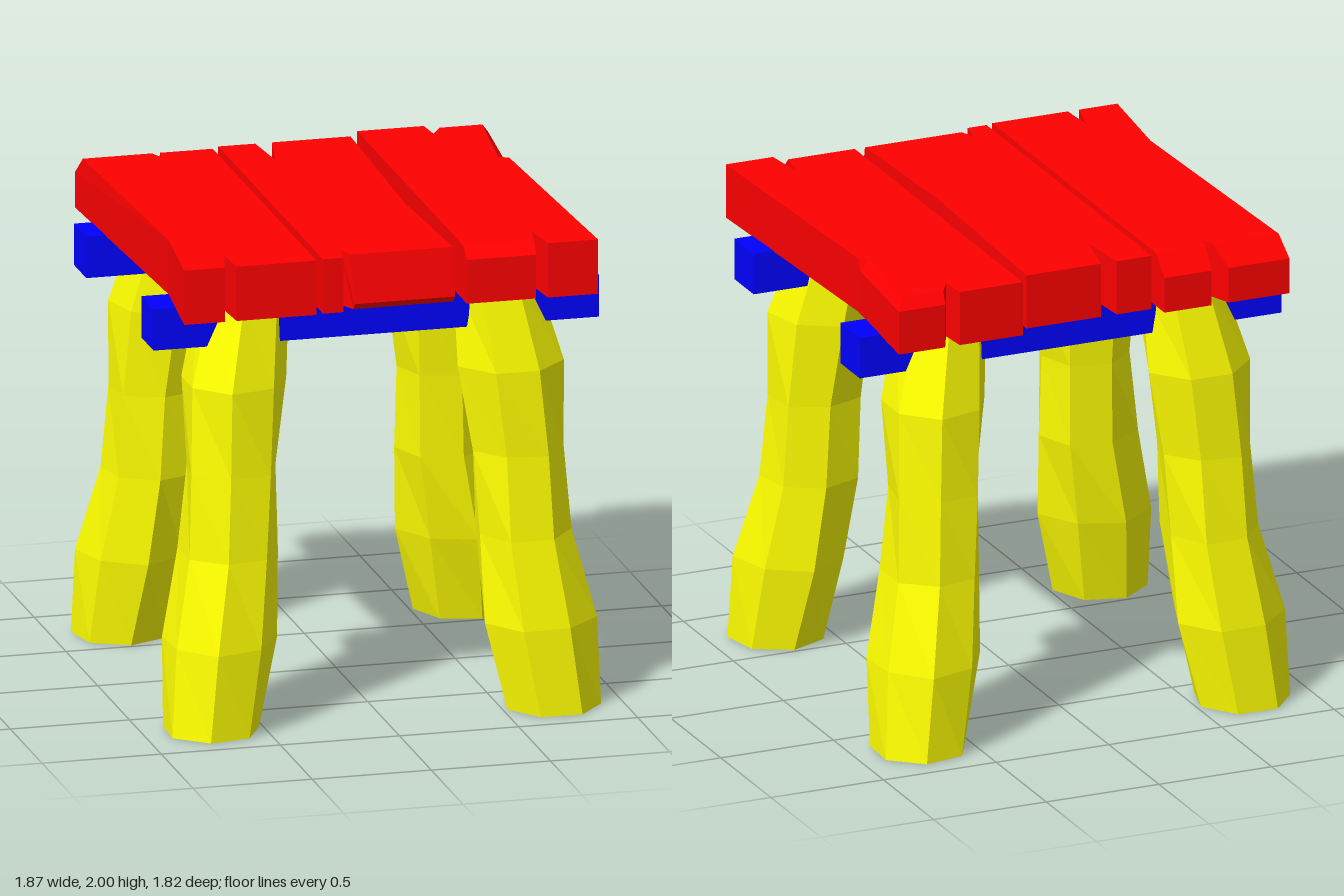
import * as THREE from 'three';

const mat = (color) => new THREE.MeshStandardMaterial({ color, flatShading: true });

// Accumulates triangles, then makes a flat-shaded mesh
function meshFrom(name, positions, material) {
  const g = new THREE.BufferGeometry();
  g.setAttribute('position', new THREE.Float32BufferAttribute(positions, 3));
  g.computeVertexNormals();
  const m = new THREE.Mesh(g, material);
  m.name = name;
  return m;
}

// Side wall between two rings, a below b
function wall(out, a, b) {
  a.forEach((p, i) => {
    const j = (i + 1) % a.length;
    out.push(...p, ...b[i], ...b[j], ...p, ...b[j], ...a[j]);
  });
}

// Plank: outline points [x, z, top dx, top dz, chamfer drop, bottom dz]
function plank(name, outline, material) {
  const y0 = 1.77, y1 = 2, out = [];
  const bottom = outline.map(([x, z, , , , bz = 0]) => [x, y0, z + bz]);
  const mid = outline.map(([x, z, , , drop = 0]) => [x, y1 - drop, z]);
  const top = outline.map(([x, z, dx = 0, dz = 0]) => [x + dx, y1, z + dz]);
  wall(out, bottom, mid);
  wall(out, mid, top);
  const cap = (ring) => THREE.ShapeUtils.triangulateShape(ring.map((p) => new THREE.Vector2(p[0], p[2])), []);
  for (const [a, b, c] of cap(bottom)) out.push(...bottom[a], ...bottom[b], ...bottom[c]);
  for (const [a, b, c] of cap(top)) out.push(...top[a], ...top[c], ...top[b]);
  return meshFrom(name, out, material);
}

// Leg: seven-sided rough log, stations [y, centre x, centre z, radius]
function leg(material) {
  const stations = [
    [0, 0.715, 0.715, 0.2], [0.36, 0.665, 0.67, 0.23], [0.72, 0.62, 0.615, 0.205],
    [1.07, 0.6, 0.6, 0.195], [1.43, 0.565, 0.585, 0.215], [1.79, 0.51, 0.52, 0.18],
  ];
  const sides = 7, out = [];
  const rings = stations.map(([y, cx, cz, r], k) =>
    Array.from({ length: sides }, (_, i) => {
      const a = 0.26 + (i / sides) * Math.PI * 2;
      const rr = r * (1 + (k ? 0.06 * Math.sin(i * 2.4 + k * 1.9) : 0));
      return [cx + Math.cos(a) * rr, y, cz + Math.sin(a) * rr];
    }));
  for (let k = 0; k < rings.length - 1; k++) wall(out, rings[k], rings[k + 1]);
  const lo = rings[0], hi = rings[rings.length - 1];
  for (let i = 1; i < sides - 1; i++) {
    out.push(...lo[0], ...lo[i], ...lo[i + 1]);
    out.push(...hi[0], ...hi[i + 1], ...hi[i]);
  }
  return meshFrom('leg', out, material);
}

export function createModel() {
  const model = new THREE.Group();
  model.name = 'stool';
  const red = mat(0xff0000), blue = mat(0x0000ff), yellow = mat(0xffff00);

  // Seat planks with split ends and chipped edges
  const seat = new THREE.Group();
  seat.name = 'seat';
  seat.add(
    plank('rightPlank', [
      [-0.87, -0.845, 0.01, 0.085, 0.08], [-0.6, -0.845, 0.03, 0.085, 0.08], [-0.545, -0.695],
      [-0.525, -0.845, -0.01, 0.085, 0.08], [-0.315, -0.845, 0, 0.085, 0.08], [-0.315, 0.875],
      [-0.65, 0.875], [-0.66, 0.715], [-0.7, 0.875], [-0.87, 0.875], [-0.82, 0.43],
    ], red),
    plank('middlePlank', [
      [-0.285, -0.785], [-0.13, -0.785], [-0.11, -0.545], [-0.06, -0.785], [0.27, -0.785],
      [0.24, 0.18], [0.27, 0.865, 0, -0.035, 0.2, -0.03], [-0.15, 0.865, -0.01, -0.035, 0.2, -0.03],
      [-0.185, 0.76], [-0.2, 0.865], [-0.285, 0.865],
    ], red),
    plank('leftPlank', [
      [0.315, -0.85], [0.595, -0.85], [0.605, -0.735], [0.66, -0.85, -0.01, 0.04, 0.045],
      [0.865, -0.85, -0.035, 0.04, 0.045], [0.817, -0.35, -0.042, 0, 0.045], [0.815, -0.33],
      [0.865, 0.88], [0.655, 0.88], [0.635, 0.69], [0.605, 0.88, 0.005, -0.05, 0.045],
      [0.315, 0.88, 0, -0.05, 0.045],
    ], red),
  );
  model.add(seat);

  // Cross battens under the planks
  for (const [name, z] of [['backBatten', -0.52], ['frontBatten', 0.54]]) {
    const b = new THREE.Mesh(new THREE.BoxGeometry(1.87, 0.175, 0.193), blue);
    b.name = name;
    b.position.set(0, 1.685, z);
    model.add(b);
  }

  // Four splayed legs, each a quarter turn from the last
  ['frontLeftLeg', 'backLeftLeg', 'backRightLeg', 'frontRightLeg'].forEach((name, k) => {
    const l = leg(yellow);
    l.name = name;
    l.rotation.y = (k * Math.PI) / 2;
    model.add(l);
  });
  return model;
}
